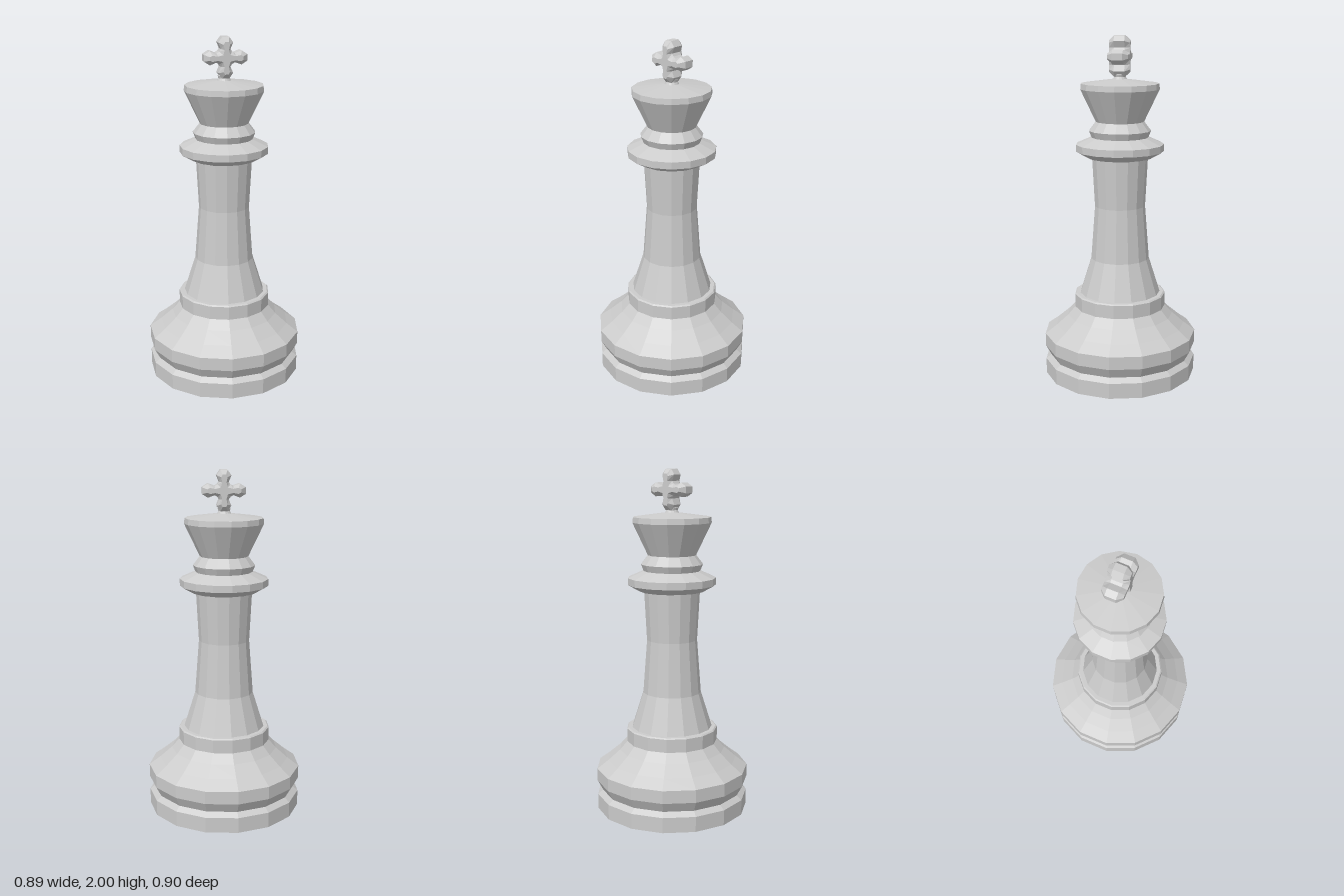
import * as THREE from 'three';

const SIDES = 15;
const material = new THREE.MeshStandardMaterial({ color: 0xcccccc, flatShading: true });

// Faceted turned part from [radius, height] pairs, with one corner on +x
function turned(name, profile) {
  const points = profile.map(([r, y]) => new THREE.Vector2(r, y));
  const mesh = new THREE.Mesh(new THREE.LatheGeometry(points, SIDES, Math.PI / 2), material);
  mesh.name = name;
  mesh.position.x = -0.005;
  return mesh;
}

// Four-armed outline: one arm edge given as [along, half width], mirrored and turned
function crossOutline([corner, neck, flare, tip]) {
  const flip = ([u, v]) => [u, -v];
  const arm = [flip(neck), flip(flare), flip(tip), tip, flare, neck, corner];
  const loop = [];
  for (let k = 0; k < 4; k++) {
    const c = Math.round(Math.cos(k * Math.PI / 2)), s = Math.round(Math.sin(k * Math.PI / 2));
    arm.forEach(([u, v]) => loop.push([u * c - v * s, u * s + v * c]));
  }
  return loop;
}

// Bevelled cross lofted from front to back
function cross() {
  const outer = crossOutline([[0.037, 0.037], [0.052, 0.027], [0.09, 0.042], [0.123, 0.02]]);
  const inner = crossOutline([[0.02, 0.02], [0.05, 0.012], [0.08, 0.018], [0.095, 0.01]]);
  const centre = outer.map(() => [0, 0]);
  const layers = [[centre, 0.06], [inner, 0.06], [outer, 0.03], [outer, -0.03], [inner, -0.06], [centre, -0.06]];
  const n = outer.length, positions = [], index = [];
  layers.forEach(([loop, z]) => loop.forEach(([x, y]) => positions.push(x, y * 0.935, z)));
  for (let i = 0; i < layers.length - 1; i++) {
    for (let j = 0; j < n; j++) {
      const a = i * n + j, b = i * n + (j + 1) % n, c = a + n, d = b + n;
      if (i < layers.length - 2) index.push(a, c, d);
      if (i > 0) index.push(a, d, b);
    }
  }
  const geometry = new THREE.BufferGeometry();
  geometry.setAttribute('position', new THREE.Float32BufferAttribute(positions, 3));
  geometry.setIndex(index);
  geometry.computeVertexNormals();
  const mesh = new THREE.Mesh(geometry, material);
  mesh.name = 'cross';
  mesh.position.set(-0.002, 1.885, 0);
  return mesh;
}

export function createModel() {
  const group = new THREE.Group();
  group.name = 'chessKing';
  group.add(
    // Grooved foot and sloping shoulder
    turned('base', [[0, 0], [0.45, 0], [0.45, 0.09], [0.42, 0.115], [0.452, 0.175], [0.452, 0.25],
      [0.385, 0.3], [0.315, 0.36], [0.27, 0.41], [0.27, 0.488], [0.262, 0.495], [0.238, 0.495]]),
    // Waisted stem
    turned('column', [[0.238, 0.495], [0.172, 0.705], [0.148, 1.02], [0.163, 1.305]]),
    // Wide ring with a smaller one above
    turned('collar', [[0.163, 1.305], [0.19, 1.308], [0.256, 1.345], [0.256, 1.385], [0.165, 1.425],
      [0.18, 1.463], [0.14, 1.515]]),
    // Flared head with a shallow top
    turned('crown', [[0.14, 1.515], [0.228, 1.7], [0.225, 1.732], [0.04, 1.757], [0.033, 1.77], [0.037, 1.785], [0, 1.8]]),
    cross()
  );
  return group;
}
